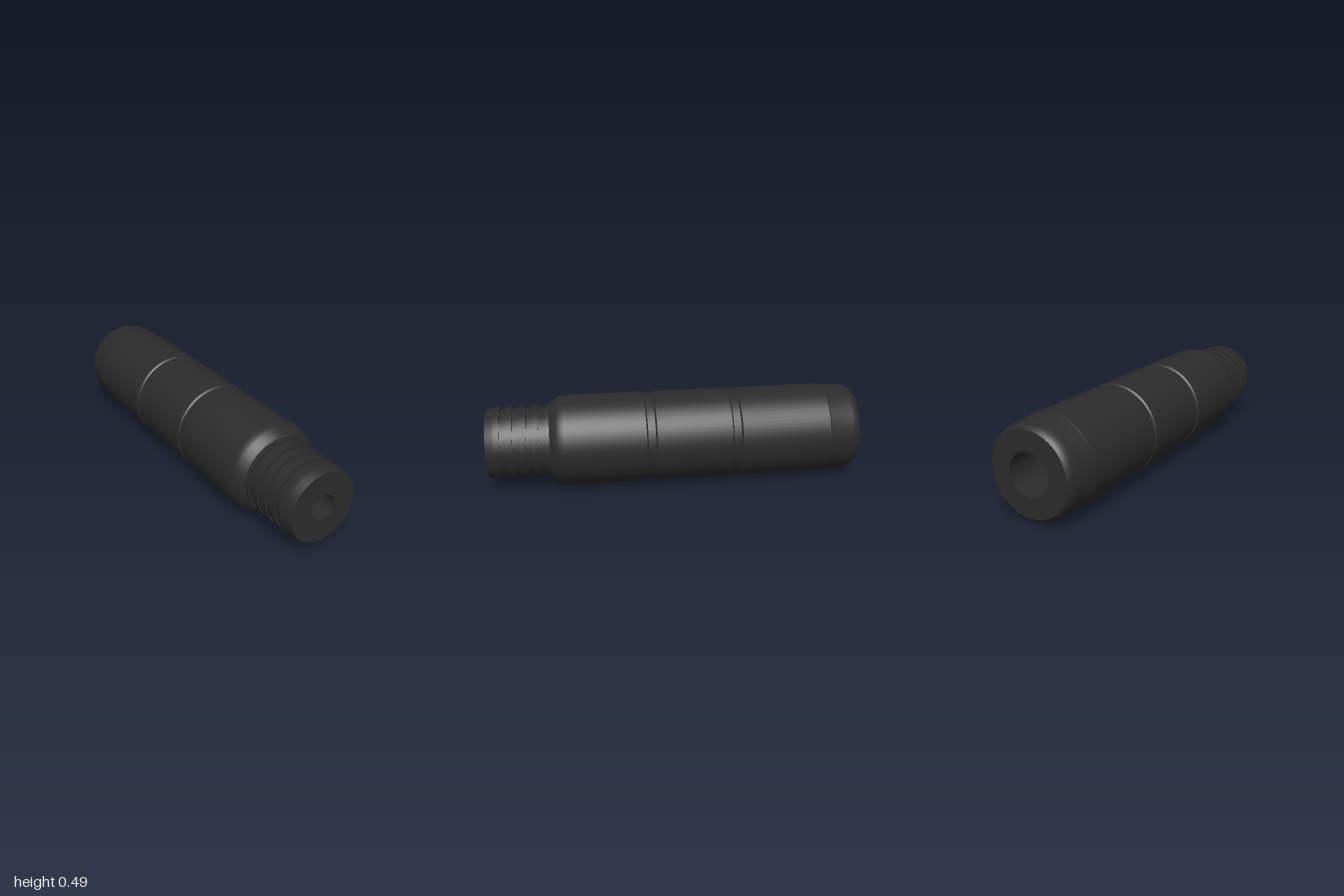
import * as THREE from 'three';
import { toCreasedNormals } from 'three/addons/utils/BufferGeometryUtils.js';

const AXIS_HEIGHT = 0.245;
const BODY = 0.244;   // main tube radius
const BORE = 0.067;   // through-hole radius
const SOCKET = 0.109; // wider hole at the back

export function createModel() {
  const group = new THREE.Group();
  const black = new THREE.MeshStandardMaterial({ color: 0x2b2b2b });
  black.name = 'matteBlack';

  // Spins [z, radius] pairs about the z axis; outer skins run back to front
  const turn = (name, profile) => {
    const points = profile.map(([z, r]) => new THREE.Vector2(r, z));
    const geometry = new THREE.LatheGeometry(points, 72).rotateX(Math.PI / 2);
    const mesh = new THREE.Mesh(toCreasedNormals(geometry, 0.42), black);
    mesh.name = name;
    mesh.position.y = AXIS_HEIGHT;
    group.add(mesh);
  };

  // Rear end: flat ring, rounded rim, slightly slimmer sleeve
  turn('rearCap', [
    [-1, SOCKET], [-1, 0.213], [-0.992, 0.222], [-0.975, 0.231],
    [-0.95, 0.237], [-0.84, 0.239], [-0.825, BODY],
  ]);

  // Main tube with two shallow grooves and a rounded front shoulder
  const groove = (z) => [
    [z - 0.028, BODY], [z - 0.02, 0.236], [z + 0.02, 0.236], [z + 0.028, BODY],
  ];
  turn('body', [
    [-0.825, BODY], ...groove(-0.317), ...groove(0.14),
    [0.595, BODY], [0.615, 0.241], [0.635, 0.232], [0.66, 0.212], [0.67, 0.2], [0.67, 0.186],
  ]);

  // Ribbed neck: raised rings between square grooves, tapered tip
  const ribs = [[0.67, 0.69], [0.727, 0.76], [0.79, 0.824], [0.861, 0.893]];
  turn('ribbedNeck', [
    ...ribs.flatMap(([a, b]) => [[a, 0.184], [a, 0.195], [b, 0.195], [b, 0.184]]),
    [0.925, 0.184], [0.925, 0.195], [0.95, 0.195], [0.965, 0.192], [1, 0.182], [1, BORE],
  ]);

  // Hollow inside: narrow bore opening into the rear socket
  turn('bore', [[1, BORE], [-0.7, BORE], [-0.7, SOCKET], [-1, SOCKET]]);

  return group;
}
